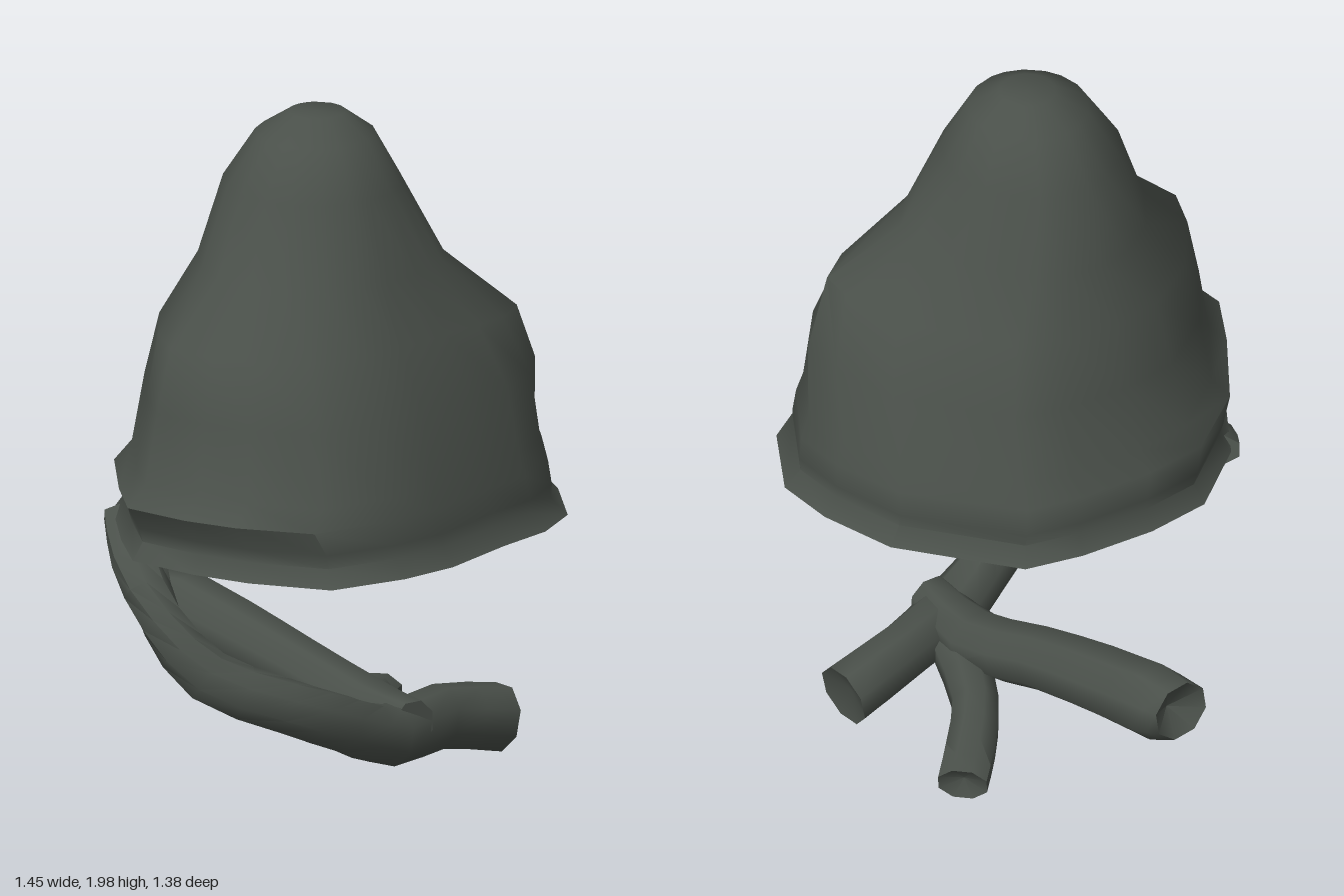
import * as THREE from 'three';
import { toCreasedNormals } from 'three/addons/utils/BufferGeometryUtils.js';

// Skin a list of closed rings (arrays of Vector3 with equal counts)
function skin(rings, crease) {
  const n = rings[0].length, pos = [], idx = [];
  rings.forEach(r => r.forEach(p => pos.push(p.x, p.y, p.z)));
  for (let i = 0; i < rings.length - 1; i++) {
    for (let j = 0; j < n; j++) {
      const a = i * n + j, b = i * n + (j + 1) % n;
      idx.push(a, b, a + n, b, b + n, a + n);
    }
  }
  const g = new THREE.BufferGeometry();
  g.setAttribute('position', new THREE.Float32BufferAttribute(pos, 3));
  g.setIndex(idx);
  return toCreasedNormals(g, crease);
}

// Hood: uneven rim outline that turns round towards the crown
function hoodGeometry() {
  const cx = 0.135, rx = 0.595, rz = 0.69;
  const rim = [
    [0.35, -0.69], [0.56, -0.55], [0.64, -0.4], [0.67, -0.22], [0.73, 0.02], [0.73, 0.2],
    [0.68, 0.43], [0.48, 0.57], [0.32, 0.64], [0.11, 0.69], [-0.06, 0.59], [-0.3, 0.42],
    [-0.45, 0.2], [-0.46, 0], [-0.43, -0.23], [-0.38, -0.4], [-0.06, -0.635], [0.17, -0.69],
  ].map(([x, z]) => [(x - cx) / rx, z / rz]);
  // y, xMin, xMax, zMin, zMax, outline share, lean of the back shoulder
  const levels = [
    [2.0, 0.12, 0.12, 0, 0, 0, 0],
    [2.0, 0.04, 0.20, -0.08, 0.08, 0, 0],
    [1.94, -0.05, 0.30, -0.16, 0.18, 0, 0],
    [1.80, -0.14, 0.38, -0.24, 0.27, 0, 0],
    [1.57, -0.21, 0.45, -0.33, 0.35, 0.1, 0.08],
    [1.40, -0.27, 0.53, -0.50, 0.53, 0.5, 0.16],
    [1.22, -0.33, 0.61, -0.585, 0.585, 0.8, 0.08],
    [1.02, -0.37, 0.66, -0.62, 0.63, 1, 0],
    [0.96, -0.41, 0.68, -0.645, 0.685, 1, 0],
    [0.89, -0.43, 0.69, -0.65, 0.64, 1, 0],
    [0.85, -0.42, 0.69, -0.645, 0.63, 1, 0],
    [0.80, -0.46, 0.73, -0.69, 0.665, 1, 0],
    [0.79, -0.2, 0.45, -0.32, 0.36, 1, 0],
    [0.74, 0.0, 0.24, -0.1, 0.13, 0, 0],
    [0.72, 0.12, 0.12, 0.01, 0.01, 0, 0],
  ];
  return skin(levels.map(([y, x0, x1, z0, z1, k, lean]) => rim.map(([px, pz]) => {
    const t = Math.atan2(pz, px);
    const nx = THREE.MathUtils.lerp(Math.cos(t), px, k);
    const nz = THREE.MathUtils.lerp(Math.sin(t), pz, k);
    const shift = nz < 0 ? lean * Math.abs(nz) ** 3 : 0;
    return new THREE.Vector3((x0 + x1) / 2 + nx * (x1 - x0) / 2 + shift, y, (z0 + z1) / 2 + nz * (z1 - z0) / 2);
  })), 0.95);
}

// Flattened strap along points of [x, y, z, halfWidth, halfHeight]
function strapGeometry(points, notch = 0.03) {
  const sides = 8, steps = (points.length - 1) * 2;
  const curve = new THREE.CatmullRomCurve3(points.map(p => new THREE.Vector3(p[0], p[1], p[2])));
  const rings = [], up = new THREE.Vector3(0, 1, 0);
  for (let i = 0; i <= steps; i++) {
    const t = i / steps, f = t * (points.length - 1);
    const a = points[Math.floor(f)], b = points[Math.ceil(f)], m = f % 1;
    const w = THREE.MathUtils.lerp(a[3], b[3], m), h = THREE.MathUtils.lerp(a[4], b[4], m);
    const c = curve.getPoint(t), T = curve.getTangent(t);
    const u = up.clone().cross(T).normalize(), v = T.clone().cross(u);
    const ring = (s, inset) => Array.from({ length: sides }, (_, j) => {
      const q = (j + 0.5) / sides * Math.PI * 2;
      return c.clone().addScaledVector(u, Math.cos(q) * w * s)
        .addScaledVector(v, Math.sin(q) * h * s).addScaledVector(T, inset);
    });
    if (i === 0) rings.push(ring(0, 0));
    rings.push(ring(1, 0));
    if (i === steps) rings.push(ring(0, -notch));
  }
  return skin(rings, 0.9);
}

export function createModel() {
  const group = new THREE.Group();
  const cloth = new THREE.MeshStandardMaterial({ color: 0x4a504a });
  cloth.name = 'dark grey green cloth';
  const add = (name, geometry) => {
    const mesh = new THREE.Mesh(geometry, cloth);
    mesh.name = name;
    group.add(mesh);
  };

  add('hood', hoodGeometry());

  // Strap hanging from the front rim and winding to the back
  add('hangingStrap', strapGeometry([
    [-0.24, 0.79, 0.36, 0.1, 0.05],
    [-0.1, 0.71, 0.47, 0.08, 0.06],
    [0.04, 0.57, 0.5, 0.06, 0.07],
    [0.17, 0.43, 0.44, 0.06, 0.08],
    [0.3, 0.34, 0.27, 0.07, 0.08],
    [0.33, 0.25, 0.07, 0.07, 0.085],
    [0.29, 0.17, -0.12, 0.09, 0.09],
    [0.22, 0.16, -0.36, 0.08, 0.095],
    [0.21, 0.11, -0.59, 0.09, 0.1],
  ]));

  // Long free end reaching sideways
  add('longStrapEnd', strapGeometry([
    [0.33, 0.2, -0.18, 0.07, 0.07],
    [0.1, 0.19, -0.2, 0.1, 0.085],
    [-0.15, 0.25, -0.16, 0.1, 0.09],
    [-0.4, 0.3, -0.13, 0.11, 0.1],
    [-0.6, 0.33, -0.11, 0.11, 0.11],
    [-0.7, 0.35, -0.1, 0.1, 0.08],
  ], 0.06));

  // Short tail pointing to the back
  add('shortStrapEnd', strapGeometry([
    [0.16, 0.15, -0.22, 0.08, 0.07],
    [-0.06, 0.12, -0.33, 0.07, 0.065],
    [-0.2, 0.09, -0.46, 0.075, 0.06],
    [-0.29, 0.07, -0.56, 0.075, 0.055],
  ]));

  return group;
}
